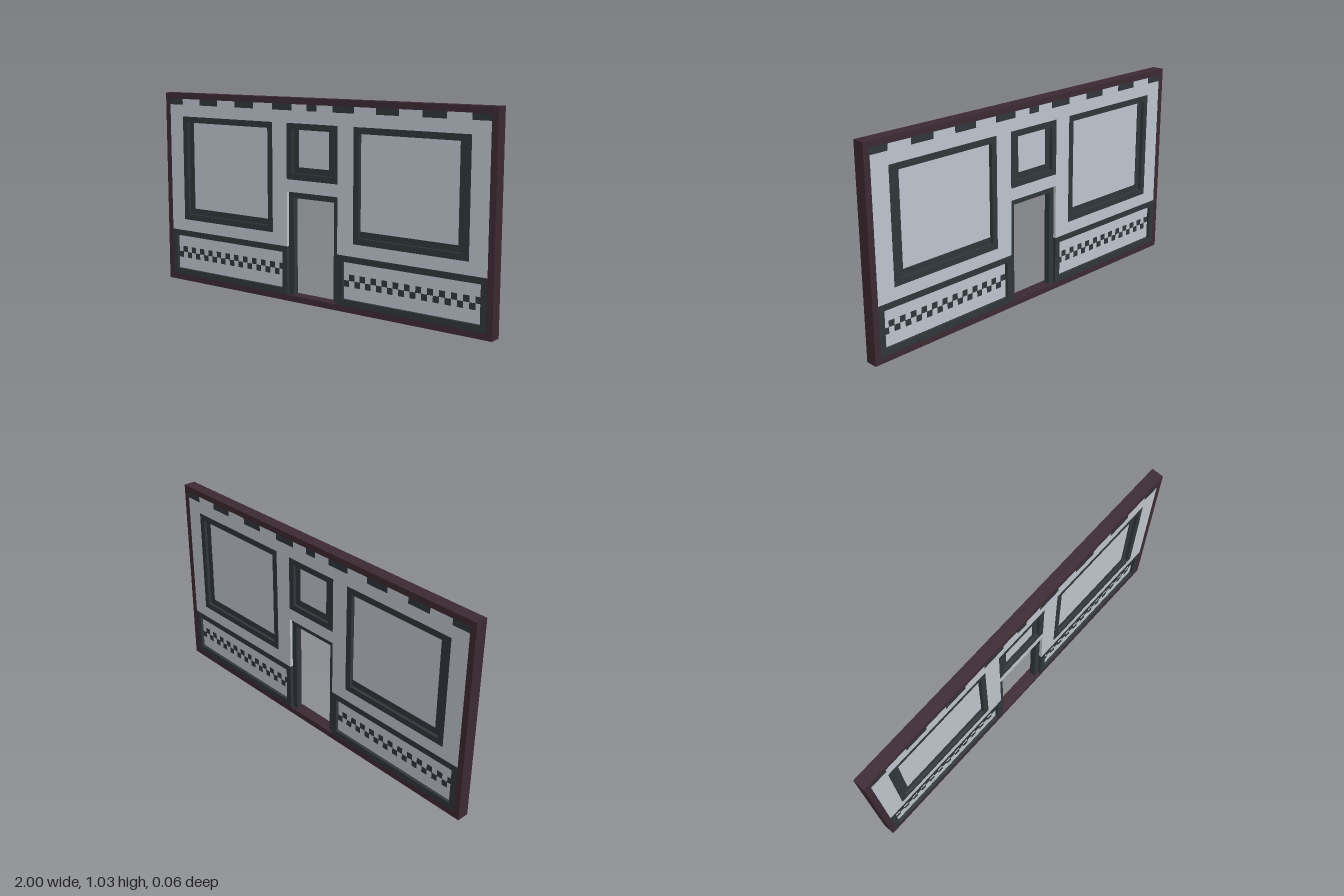
import * as THREE from 'three';

const U = 1 / 32; // one block of the modelling grid

const grey = new THREE.MeshStandardMaterial({ color: 0xc0c6cf });
const dark = new THREE.MeshStandardMaterial({ color: 0x30373a });
const maroon = new THREE.MeshStandardMaterial({ color: 0x3d2a32 });

// corners of a rectangle [x0, y0, x1, y1]
const rect = ([x0, y0, x1, y1]) => [[x0, y0], [x1, y0], [x1, y1], [x0, y1]];
const points = (list) => list.map(([x, y]) => new THREE.Vector2(x * U, y * U));

// slab cut from an outline with holes, reaching from -half to +half in z
function slab(name, material, outline, half, holes = []) {
  const shape = new THREE.Shape(points(outline));
  for (const h of holes) shape.holes.push(new THREE.Path(points(rect(h))));
  const geometry = new THREE.ExtrudeGeometry(shape, { depth: 2 * half * U, bevelEnabled: false });
  geometry.translate(0, 0, -half * U);
  const mesh = new THREE.Mesh(geometry, material);
  mesh.name = name;
  return mesh;
}

// window: flush outer frame, recessed inner step, pane set further back
function makeWindow(name, outer, ring, opening) {
  const group = new THREE.Group();
  group.name = name;
  group.add(
    slab('outerFrame', dark, rect(outer), 1, [ring]),
    slab('innerStep', dark, rect(ring), 0.5, [opening]),
    slab('pane', grey, rect(opening), 0.4),
  );
  return group;
}

// two staggered rows of squares on one face of a lower panel
function makeChecks(startX) {
  const group = new THREE.Group();
  group.name = 'checkerBand';
  for (let i = 0; i < 24; i++) {
    const check = new THREE.Mesh(new THREE.BoxGeometry(U, U, 0.05 * U), dark);
    check.name = 'checkerSquare';
    check.position.set((startX + i + 0.5) * U, (i % 2 ? 5.5 : 4.5) * U, 0.51 * U);
    group.add(check);
  }
  return group;
}

export function createModel() {
  const model = new THREE.Group();
  model.name = 'shopfrontWall';

  // outer border
  model.add(slab('outerBorder', maroon, rect([-32, 0, 32, 33]), 1, [[-31, 1, 31, 32]]));

  // wall with window openings and a step down around the door and lower panels
  const windowOuter = [[-28, 11, -8, 29], [8, 11, 28, 29], [-5, 20, 5, 29]];
  model.add(slab('wall', grey, [
    [-31, 9], [-5, 9], [-5, 18], [5, 18], [5, 9], [31, 9], [31, 32], [-31, 32],
  ], 0.97, windowOuter));

  // dark trim blocks under the top border
  const trims = [[-1, 1]];
  for (const [a, b] of [[4, 8], [12, 16], [20, 24], [28, 31]]) trims.push([a, b], [-b, -a]);
  for (const [a, b] of trims) model.add(slab('topTrim', dark, rect([a, 31, b, 32]), 0.99));

  // windows
  model.add(
    makeWindow('rightWindow', windowOuter[0], [-27, 12, -9, 28], [-26, 13, -9.001, 27.999]),
    makeWindow('leftWindow', windowOuter[1], [9, 12, 27, 28], [9.001, 13, 26, 27.999]),
    makeWindow('transomWindow', windowOuter[2], [-4, 21, 4, 28], [-3, 22, 3, 27.999]),
  );

  // recessed door frame
  model.add(slab('doorFrame', dark, [
    [-5, 1], [-4, 1], [-4, 17], [4, 17], [4, 1], [5, 1], [5, 18], [-5, 18],
  ], 0.5));

  // lower panels
  for (const [name, x] of [['rightPanel', -31], ['leftPanel', 5]]) {
    const inner = [x + 1, 2, x + 25, 8];
    model.add(
      slab(name + 'Frame', dark, rect([x, 1, x + 26, 9]), 1, [inner]),
      slab(name, grey, rect(inner), 0.5),
    );
  }

  // checker bands on the front, repeated on the back by a half turn
  for (const turn of [0, Math.PI]) {
    const bands = new THREE.Group();
    bands.name = turn ? 'backCheckers' : 'frontCheckers';
    bands.add(makeChecks(-30), makeChecks(6));
    bands.rotation.y = turn;
    model.add(bands);
  }

  return model;
}
